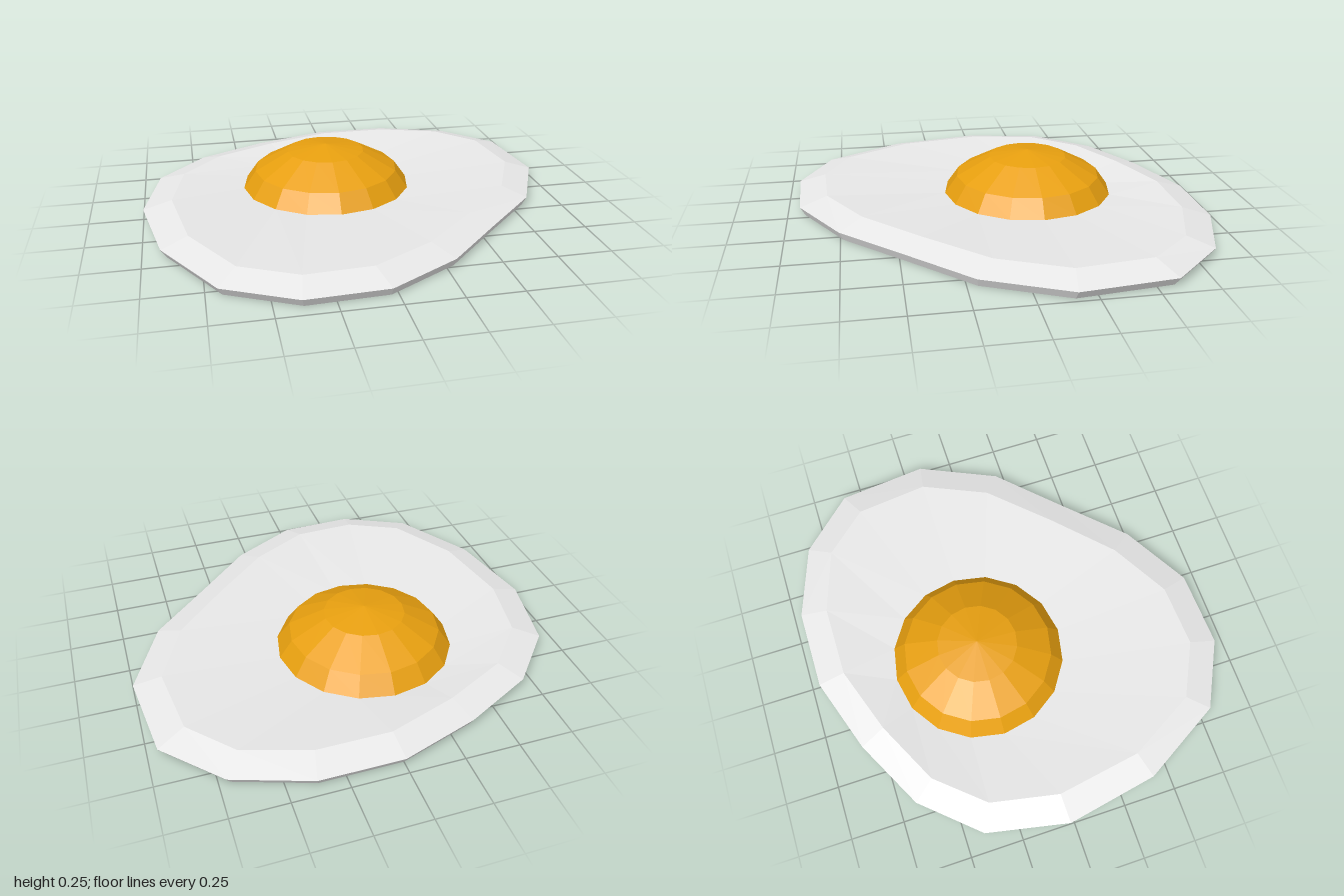
import * as THREE from 'three';

const SIDES = 16;
const YOLK = { x: -0.095, z: -0.18, radius: 0.415, base: 0.045 };

// Egg white edge and inner rim as [x, z], starting at the back and running towards +x
const EDGE = [
  [0, -0.96], [0.38, -0.96], [0.72, -0.84], [0.955, -0.59], [1, -0.16], [0.83, 0.21], [0.56, 0.48], [0.29, 0.755],
  [-0.03, 0.94], [-0.39, 0.955], [-0.7, 0.8], [-0.92, 0.42], [-1, -0.02], [-0.92, -0.41], [-0.69, -0.67], [-0.36, -0.84],
];
const RIM = [
  [0.01, -0.83], [0.35, -0.83], [0.65, -0.73], [0.83, -0.53], [0.87, -0.18], [0.73, 0.13], [0.47, 0.4], [0.21, 0.65],
  [-0.07, 0.81], [-0.37, 0.825], [-0.62, 0.7], [-0.8, 0.38], [-0.865, -0.025], [-0.8, -0.35], [-0.61, -0.57], [-0.31, -0.72],
];

// Ring of 3D points at one height
const ring = (points, y, scale = 1) => points.map(([x, z]) => [x * scale, y, z * scale]);

// Circle around the yolk centre
const circle = (radius) => Array.from({ length: SIDES }, (_, i) => {
  const a = (i / SIDES) * Math.PI * 2;
  return [YOLK.x + Math.sin(a) * radius, YOLK.z - Math.cos(a) * radius];
});

// Flat-faced skin through rings listed from bottom to top, capped with a point at each end
function skin(rings, bottom, top) {
  const pos = [];
  const tri = (a, b, c) => pos.push(...a, ...b, ...c);
  for (let i = 0; i < SIDES; i++) {
    const j = (i + 1) % SIDES;
    tri(bottom, rings[0][i], rings[0][j]);
    for (let k = 0; k < rings.length - 1; k++) {
      const lo = rings[k], hi = rings[k + 1];
      tri(lo[i], hi[i], hi[j]);
      tri(lo[i], hi[j], lo[j]);
    }
    const last = rings[rings.length - 1];
    tri(last[i], top, last[j]);
  }
  const geometry = new THREE.BufferGeometry();
  geometry.setAttribute('position', new THREE.Float32BufferAttribute(pos, 3));
  geometry.computeVertexNormals();
  return geometry;
}

export function createModel() {
  const group = new THREE.Group();
  group.name = 'friedEgg';
  const whiteMaterial = new THREE.MeshStandardMaterial({ name: 'eggWhite', color: 0xe7e7e7, flatShading: true });
  const yolkMaterial = new THREE.MeshStandardMaterial({ name: 'yolkOrange', color: 0xffb012, flatShading: true });

  // Egg white: undercut edge, bevelled rim and a shallow dip towards the yolk
  const white = new THREE.Mesh(skin(
    [ring(EDGE, 0, 0.975), ring(EDGE, 0.04), ring(RIM, 0.077), ring(circle(YOLK.radius), YOLK.base)],
    [0, 0, 0], [YOLK.x, YOLK.base, YOLK.z],
  ), whiteMaterial);
  white.name = 'eggWhite';

  // Yolk: faceted dome
  const profile = [[YOLK.radius, YOLK.base], [0.355, 0.13], [0.19, 0.22]];
  const yolk = new THREE.Mesh(skin(
    profile.map(([r, y]) => ring(circle(r), y)),
    [YOLK.x, YOLK.base - 0.01, YOLK.z], [YOLK.x, 0.25, YOLK.z],
  ), yolkMaterial);
  yolk.name = 'yolk';

  group.add(white, yolk);
  return group;
}
